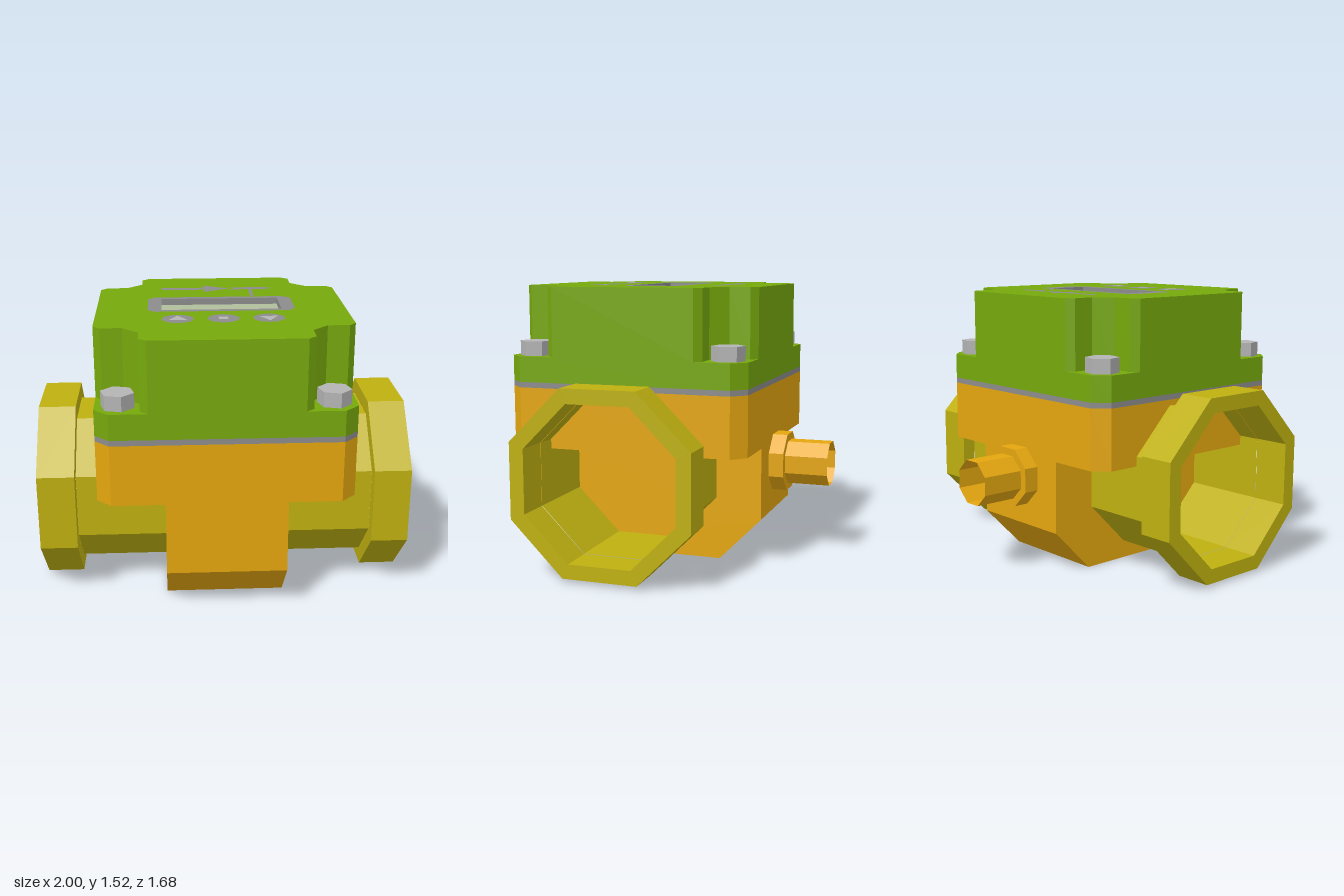
import * as THREE from 'three';

const CZ = 0.16;   // centre line of the housing in z
const CY = 0.52;   // height of the pipe axis
const mat = (color) => new THREE.MeshStandardMaterial({ color, flatShading: true, side: THREE.DoubleSide });

export function createModel() {
  const model = new THREE.Group();
  const green = mat(0x76a80c), orange = mat(0xe4a60e), yellow = mat(0xbfb010);
  const grey = mat(0x8c8c8c), steel = mat(0xb4b4b4), glass = mat(0xb0bf9c);

  const add = (name, geometry, material, x = 0, y = 0, z = 0) => {
    const mesh = new THREE.Mesh(geometry, material);
    mesh.name = name;
    mesh.position.set(x, y, z);
    model.add(mesh);
    return mesh;
  };
  // plan outlines are given as [x, z]
  const plan = (pts) => pts.map(([x, z]) => new THREE.Vector2(x, -z));
  const slab = (outline, height, hole) => {
    const shape = new THREE.Shape(plan(outline));
    if (hole) shape.holes.push(new THREE.Path(plan(hole)));
    return new THREE.ExtrudeGeometry(shape, { depth: height, bevelEnabled: false }).rotateX(-Math.PI / 2);
  };
  const decal = (outline) => new THREE.ShapeGeometry(new THREE.Shape(plan(outline))).rotateX(-Math.PI / 2);
  // repeat one corner of a square outline four times
  const fourCorners = (corner) => {
    const pts = [];
    for (let i = 0; i < 4; i++) {
      for (const [x, z] of corner) pts.push([[x, z], [-z, x], [-x, -z], [z, -x]][i]);
    }
    return pts;
  };
  // octagonal ring or tube about y; profile is [apothem, y]
  const octagon = (profile) => new THREE.LatheGeometry(
    profile.map(([a, y]) => new THREE.Vector2(a / Math.cos(Math.PI / 8), y)), 8, Math.PI / 8);

  // housing
  const square = fourCorners([[0.676, 0.6], [0.6, 0.676]]);
  add('housingFlange', slab(square, 0.33), orange, 0, 0.64, CZ);
  add('gasket', slab(square, 0.03), grey, 0, 0.97, CZ);
  add('coverBase', slab(square, 0.14), green, 0, 1.0, CZ);

  // central block with chamfered underside, extruded along x
  const block = new THREE.Shape([[-0.44, 0], [0.44, 0], [0.676, 0.24], [0.676, 0.64], [-0.676, 0.64], [-0.676, 0.24]]
    .map(([z, y]) => new THREE.Vector2(z, y)));
  add('centralBlock', new THREE.ExtrudeGeometry(block, { depth: 0.64, bevelEnabled: false })
    .translate(0, 0, -0.32).rotateY(Math.PI / 2), orange, 0, 0, CZ);

  // cover with notched corners and an opening for the display
  const notched = fourCorners([[0.676, 0.4], [0.64, 0.44], [0.525, 0.44], [0.44, 0.525], [0.44, 0.64], [0.4, 0.676]]);
  const bezel = [[-0.4, -0.12], [-0.36, -0.16], [0.36, -0.16], [0.4, -0.12],
    [0.4, 0.12], [0.36, 0.16], [-0.36, 0.16], [-0.4, 0.12]];
  const windowEdge = [[-0.325, -0.123], [0.325, -0.123], [0.325, 0.123], [-0.325, 0.123]];
  // outlines are relative to each part's own centre
  const opening = bezel.map(([x, z]) => [x, z - 0.04]);
  add('cover', slab(notched, 0.38, opening), green, 0, 1.14, CZ);
  add('displayBezel', slab(bezel, 0.04, windowEdge), grey, 0, 1.48, 0.12);
  add('displayScreen', new THREE.BoxGeometry(0.72, 0.02, 0.3), glass, 0, 1.475, 0.12);

  // corner bolts
  for (const sx of [-1, 1]) {
    for (const sz of [-1, 1]) {
      add('bolt', new THREE.CylinderGeometry(0.09, 0.09, 0.08, 6, 1, false, Math.PI / 12), steel,
        sx * 0.555, 1.18, CZ + sz * 0.555);
    }
  }

  // buttons with their symbols
  const symbols = [
    [[-0.05, 0.03], [0.05, 0.03], [0, -0.06]],
    [[-0.025, -0.025], [0.025, -0.025], [0.025, 0.025], [-0.025, 0.025]],
    [[-0.05, -0.03], [0.05, -0.03], [0, 0.06]],
  ];
  symbols.forEach((outline, i) => {
    const x = (i - 1) * 0.24;
    add('button', new THREE.CircleGeometry(0.084, 16).rotateX(-Math.PI / 2), grey, x, 1.522, 0.44);
    add('buttonSymbol', decal(outline), steel, x, 1.524, 0.44);
  });

  // flow marking: arrow shaft, arrow head, trailing bar and link to the display
  const marks = [
    [[-0.325, -0.26], [-0.08, -0.26], [-0.08, -0.21], [-0.325, -0.21]],
    [[-0.08, -0.315], [0.07, -0.235], [-0.08, -0.155]],
    [[0.06, -0.26], [0.27, -0.26], [0.32, -0.235], [0.27, -0.21], [0.06, -0.21], [0.1, -0.235]],
    [[0.178, -0.21], [0.198, -0.21], [0.198, -0.04], [0.178, -0.04]],
  ];
  for (const outline of marks) add('flowMark', decal(outline), grey, 0, 1.522, 0);

  // open pipe ends with flange rings
  for (const s of [-1, 1]) {
    const pipe = add('pipe', octagon([[0.418, 0.32], [0.418, 0.8]]), yellow, 0, CY, CZ);
    const ring = add('pipeFlange', octagon([[0.42, 0.8], [0.5, 0.8], [0.5, 1], [0.42, 1], [0.42, 0.8]]),
      yellow, 0, CY, CZ);
    pipe.rotation.z = ring.rotation.z = -s * Math.PI / 2;
  }

  // rear cable gland
  const collar = add('glandCollar', octagon([[0.12, 0.515], [0.16, 0.515], [0.16, 0.6], [0.12, 0.6]]), orange, 0, CY, 0);
  const stem = add('glandStem', octagon([[0.12, 0.515], [0.12, 0.84]]), orange, 0, CY, 0);
  collar.rotation.x = stem.rotation.x = -Math.PI / 2;

  return model;
}
